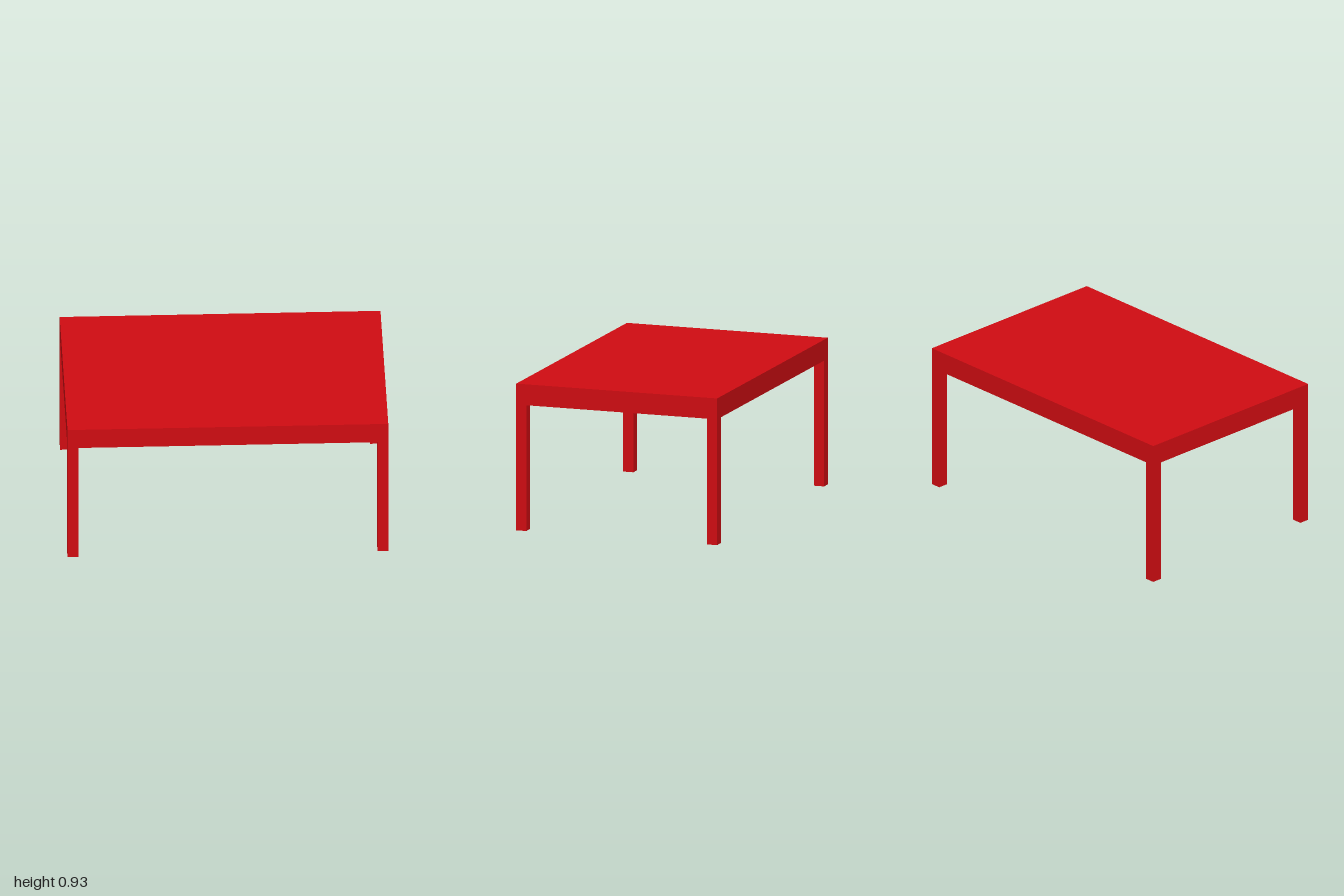
import * as THREE from 'three';

const WIDTH = 2, DEPTH = 1.333, LEG_HEIGHT = 0.8, TOP_THICKNESS = 0.133, LEG = 0.067;

export function createModel() {
  const table = new THREE.Group();
  table.name = 'table';
  const red = new THREE.MeshStandardMaterial({ color: 0xd00c12 });

  // Thick solid top
  const top = new THREE.Mesh(new THREE.BoxGeometry(WIDTH, TOP_THICKNESS, DEPTH), red);
  top.name = 'tableTop';
  top.position.y = LEG_HEIGHT + TOP_THICKNESS / 2;
  table.add(top);

  // Square legs, flush with the corners of the top
  const legGeometry = new THREE.BoxGeometry(LEG, LEG_HEIGHT, LEG);
  for (const [sideName, sx] of [['Left', 1], ['Right', -1]]) {
    for (const [endName, sz] of [['front', 1], ['back', -1]]) {
      const leg = new THREE.Mesh(legGeometry, red);
      leg.name = `${endName}${sideName}Leg`;
      leg.position.set(sx * (WIDTH - LEG) / 2, LEG_HEIGHT / 2, sz * (DEPTH - LEG) / 2);
      table.add(leg);
    }
  }
  return table;
}
